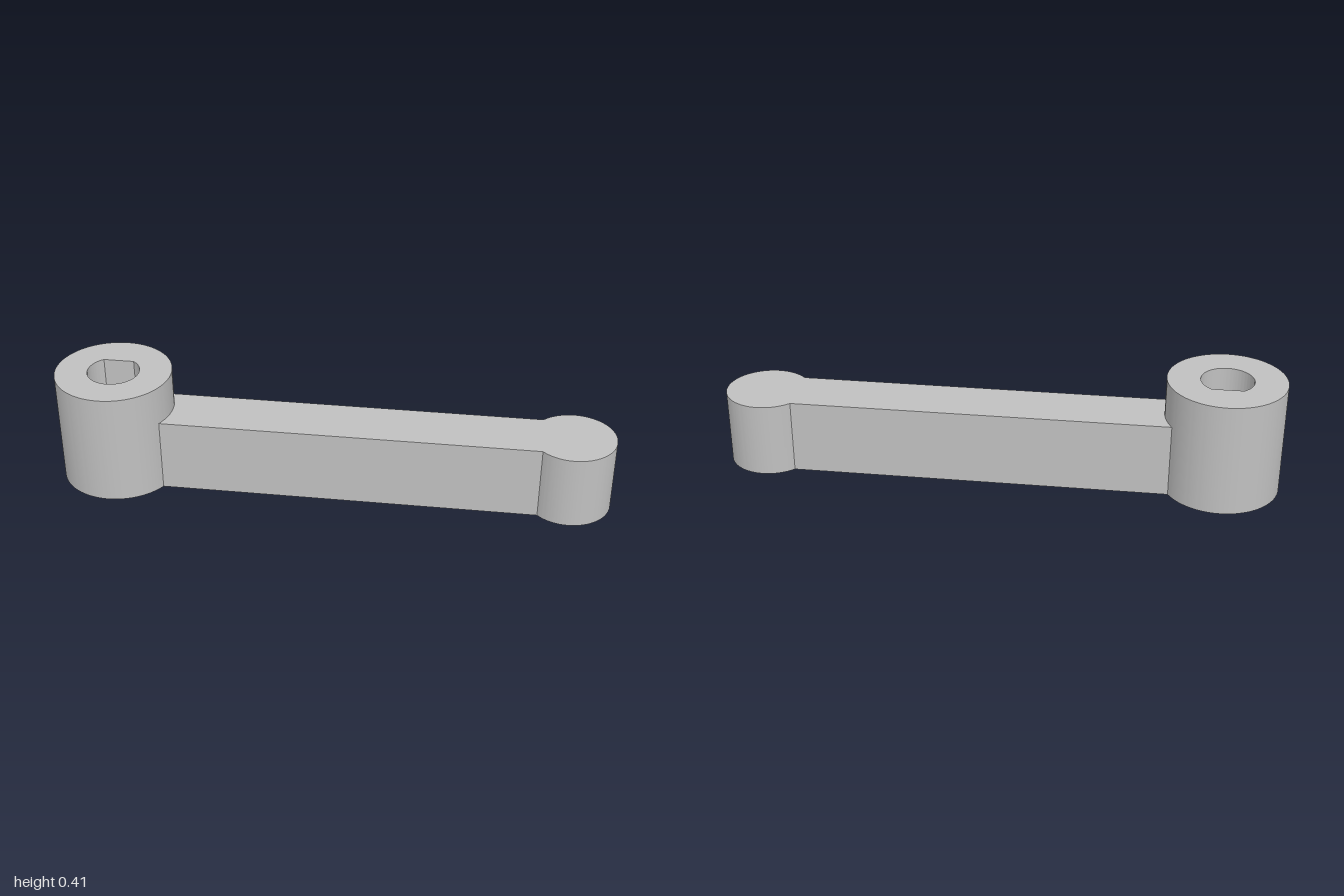
import * as THREE from 'three';
import { toCreasedNormals } from 'three/addons/utils/BufferGeometryUtils.js';

const HUB = { x: -0.79, r: 0.209, height: 0.412 };
const BORE = { r: 0.093, flat: 0.075 };
const KNOB = { x: 0.85, r: 0.15 };
const ARM = { halfWidth: 0.104, height: 0.27 };

// Stand a plan outline up from the ground, with smooth round walls and sharp rims
function upright(shape, height, name, material) {
  const geometry = new THREE.ExtrudeGeometry(shape, { depth: height, bevelEnabled: false, curveSegments: 72 });
  geometry.rotateX(-Math.PI / 2);
  const mesh = new THREE.Mesh(toCreasedNormals(geometry, 0.5), material);
  mesh.name = name;
  return mesh;
}

export function createModel() {
  const group = new THREE.Group();
  group.name = 'crankLever';
  const grey = new THREE.MeshStandardMaterial({ color: 0xc0c0c0 });
  grey.name = 'grey';

  // Tall hub with a D-shaped through bore, flat towards the back
  const hub = new THREE.Shape();
  hub.absarc(HUB.x, 0, HUB.r, 0, Math.PI * 2, false);
  const flatAngle = Math.asin(BORE.flat / BORE.r);
  const bore = new THREE.Path();
  bore.absarc(HUB.x, 0, BORE.r, Math.PI - flatAngle, Math.PI * 2 + flatAngle, false);
  bore.closePath();
  hub.holes.push(bore);
  group.add(upright(hub, HUB.height, 'hub', grey));

  // Arm fitted round the hub wall and ending in a round knob
  const hubAngle = Math.asin(ARM.halfWidth / HUB.r);
  const knobAngle = Math.PI - Math.asin(ARM.halfWidth / KNOB.r);
  const arm = new THREE.Shape();
  arm.absarc(KNOB.x, 0, KNOB.r, -knobAngle, knobAngle, false);
  arm.absarc(HUB.x, 0, HUB.r, hubAngle, -hubAngle, true);
  arm.closePath();
  group.add(upright(arm, ARM.height, 'armWithKnob', grey));

  return group;
}
